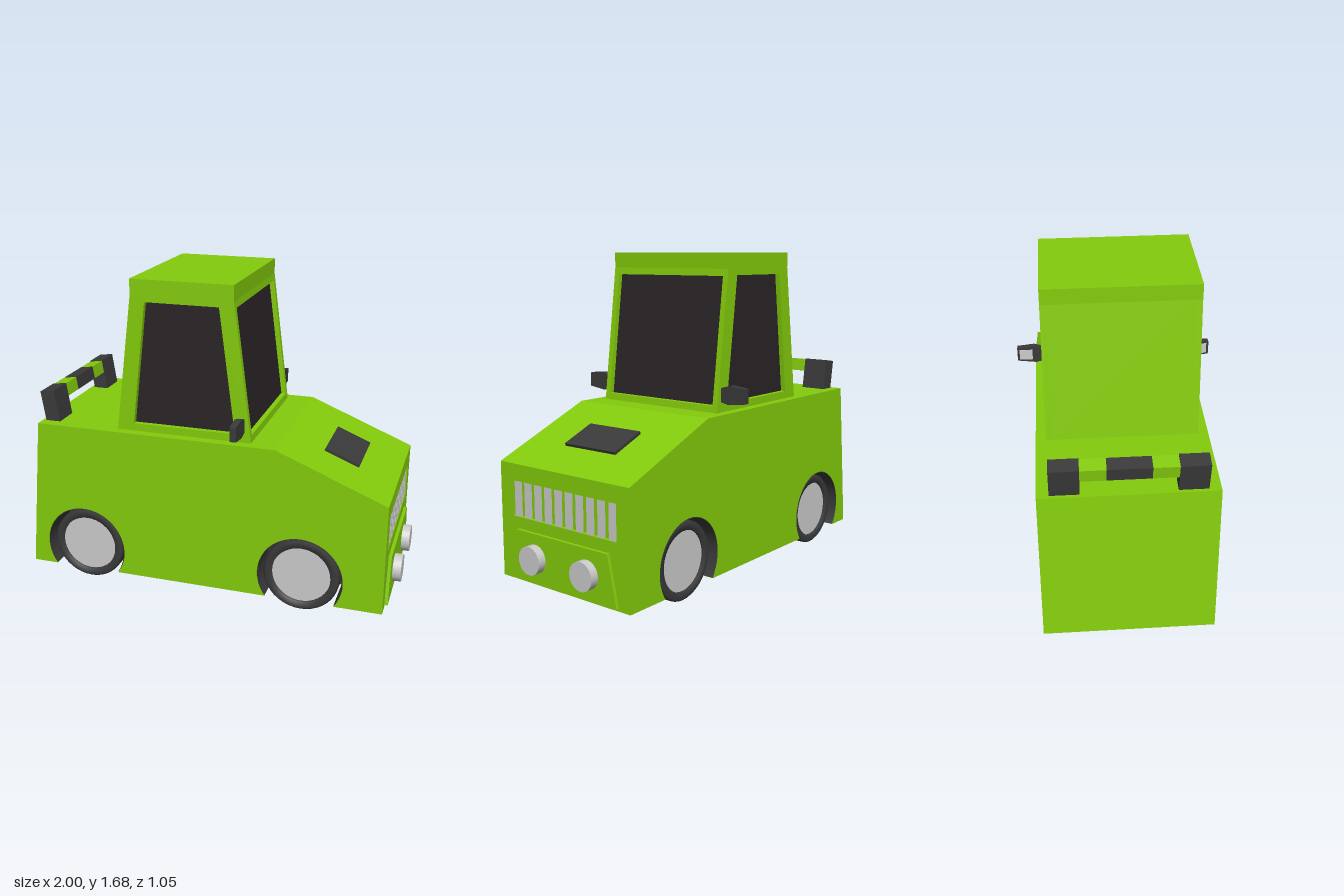
import * as THREE from 'three';

const mat = (color) => new THREE.MeshStandardMaterial({ color, side: THREE.DoubleSide });
const green = mat(0x84cc0c);
const dark = mat(0x3a3a3a);
const glass = mat(0x2a2527);
const grey = mat(0xcccccc);

const WHEELS = [-0.68, 0.51];
const ARCH_R = 0.225, ARCH_A = 0.616, WHEEL_Y = 0.2;

function add(parent, name, geometry, material) {
  const mesh = new THREE.Mesh(geometry, material);
  mesh.name = name;
  parent.add(mesh);
  return mesh;
}

const poly = (points) => new THREE.Shape(points.map(([x, y]) => new THREE.Vector2(x, y)));

// Side profile extruded across the vehicle from z0 to z1
function slab(shape, z0, z1) {
  const g = new THREE.ExtrudeGeometry(shape, { depth: z1 - z0, bevelEnabled: false, curveSegments: 28 });
  return g.translate(0, 0, z0);
}

// Outline drawn in (z, y), extruded along x from x0 to x1
function crossSlab(points, x0, x1) {
  const g = slab(poly(points.map(([z, y]) => [-z, y])), x0, x1);
  return g.rotateY(Math.PI / 2);
}

// Body outline, optionally with wheel arches and the grille recess
function bodyProfile(arches, recess) {
  const s = new THREE.Shape();
  s.moveTo(-1, 0.07);
  if (arches) {
    for (const x of WHEELS) {
      s.lineTo(x - ARCH_R * Math.cos(ARCH_A), 0.07);
      s.absarc(x, WHEEL_Y, ARCH_R, Math.PI + ARCH_A, -ARCH_A, true);
    }
  }
  s.lineTo(0.94, 0.07);
  if (recess) {
    s.lineTo(0.94, 0.395);
    s.lineTo(0.92, 0.395);
    s.lineTo(0.92, 0.575);
    s.lineTo(0.94, 0.575);
  }
  s.lineTo(0.94, 0.66);
  s.lineTo(0.37, 0.89);
  s.lineTo(-0.92, 0.89);
  s.closePath();
  return s;
}

function buildBody(car) {
  add(car, 'bodyCentre', slab(bodyProfile(false, true), -0.2, 0.2), green);
  for (const [a, b] of [[0.2, 0.35], [-0.35, -0.2]]) {
    add(car, 'bodyInnerSide', slab(bodyProfile(true, true), a, b), green);
  }
  for (const [a, b] of [[0.35, 0.43], [-0.43, -0.35]]) {
    add(car, 'bodyOuterSide', slab(bodyProfile(true, false), a, b), green);
  }

  // Hood vent lying on the slope
  const vent = add(car, 'hoodVent', new THREE.BoxGeometry(0.195, 0.03, 0.335), dark);
  vent.position.set(0.655, 0.775, 0);
  vent.rotation.z = -Math.atan2(0.23, 0.57);
}

function buildFront(car) {
  for (let i = 0; i < 10; i++) {
    const bar = add(car, 'grilleBar', new THREE.BoxGeometry(0.018, 0.18, 0.034), grey);
    bar.position.set(0.928, 0.485, (i - 4.5) * 0.0705);
  }
  add(car, 'bumperPlate', crossSlab([[-0.36, 0.085], [0.36, 0.085], [0.305, 0.335], [-0.305, 0.335]], 0.93, 0.957), green);
  for (const z of [-0.175, 0.175]) {
    const lamp = add(car, 'headlight', new THREE.CylinderGeometry(0.072, 0.072, 0.06, 32), grey);
    lamp.rotation.z = Math.PI / 2;
    lamp.position.set(0.97, 0.21, z);
  }
}

function buildCabin(car) {
  const frontX = (y) => 0.235 - 0.09 * Math.min(1, (y - 0.89) / 0.71);
  const D = 0.03;
  const window = [[-0.392, 0.93], [0.15, 0.93], [0.07, 1.568], [-0.315, 1.568]];

  // Solid core set back behind the window frames
  const core = [[-0.485, 0.88], [frontX(0.89) - D, 0.88], [frontX(1.6) - D, 1.6], [frontX(1.6) - D, 1.68], [-0.39, 1.68], [-0.39, 1.6]];
  add(car, 'cabinCore', slab(poly(core), -0.35, 0.35), green);

  // Side frames with window openings
  for (const z of [-0.38, 0.35]) {
    const side = poly([[-0.485, 0.88], [0.236, 0.88], [0.145, 1.6], [0.145, 1.68], [-0.39, 1.68], [-0.39, 1.6]]);
    side.holes.push(new THREE.Path(window.map(([x, y]) => new THREE.Vector2(x, y))));
    add(car, 'cabinSide', slab(side, z, z + 0.03), green);
  }
  add(car, 'sideWindows', slab(poly(window), -0.353, 0.353), glass);

  // Windscreen with the sill and header that frame it
  const strip = (y0, y1, inner, outer) => poly([
    [frontX(y0) - inner, y0], [frontX(y0) - outer, y0], [frontX(y1) - outer, y1], [frontX(y1) - inner, y1]]);
  add(car, 'windscreen', slab(strip(0.925, 1.565, 0.04, 0.026), -0.349, 0.349), glass);
  add(car, 'windscreenSill', slab(strip(0.89, 0.925, 0.04, 0), -0.35, 0.35), green);
  add(car, 'windscreenHeader', slab(strip(1.565, 1.6, 0.04, 0), -0.35, 0.35), green);
  add(car, 'roofFront', slab(strip(1.6, 1.68, 0.04, 0), -0.35, 0.35), green);
}

function buildMirrors(car) {
  for (const s of [-1, 1]) {
    const outline = [[0.37, 0.945], [0.425, 0.932], [0.525, 0.945], [0.525, 1.02], [0.435, 1.03], [0.37, 1.012]];
    add(car, 'wingMirror', crossSlab(outline.map(([z, y]) => [s * z, y]), 0.167, 0.2), dark);
    const pane = add(car, 'mirrorGlass', new THREE.BoxGeometry(0.004, 0.06, 0.07), grey);
    pane.position.set(0.166, 0.982, s * 0.478);
  }
}

// Roll bar: two leaning posts and a striped crossbar
function buildRollBar(car) {
  const bar = new THREE.Group();
  bar.name = 'rollBar';
  bar.position.set(-0.86, 0.88, 0);
  bar.rotation.z = 0.15;
  for (const z of [-0.3, 0.3]) {
    add(bar, 'rollBarPost', new THREE.BoxGeometry(0.08, 0.19, 0.142), dark).position.set(0, 0.08, z);
    add(bar, 'rollBarStripe', new THREE.BoxGeometry(0.075, 0.07, 0.126), green).position.set(0, 0.137, z * 0.56);
  }
  add(bar, 'rollBarMiddle', new THREE.BoxGeometry(0.075, 0.07, 0.21), dark).position.set(0, 0.137, 0);
  car.add(bar);
}

function buildWheels(car) {
  const profile = [[0, 0.205], [0.19, 0.205], [0.2, 0.215], [0.2, 0.385], [0.19, 0.395], [0.155, 0.395], [0.155, 0.375]];
  for (const x of WHEELS) {
    for (const s of [1, -1]) {
      const wheel = new THREE.Group();
      wheel.name = 'wheel';
      wheel.position.set(x, WHEEL_Y, 0);
      wheel.rotation.y = s > 0 ? 0 : Math.PI;

      // Tyre with a recessed hub
      const tyre = new THREE.LatheGeometry(profile.map(([r, y]) => new THREE.Vector2(r, y)), 40);
      add(wheel, 'tyre', tyre.rotateX(Math.PI / 2), dark);
      add(wheel, 'hub', new THREE.CircleGeometry(0.156, 40), grey).position.z = 0.38;

      // Dark lining of the wheel arch
      const start = Math.PI / 2 - ARCH_A;
      const lining = new THREE.CylinderGeometry(0.222, 0.222, 0.23, 36, 1, true, start, 2 * (Math.PI - start));
      add(wheel, 'archLining', lining.rotateX(Math.PI / 2), dark).position.z = 0.316;
      const back = new THREE.CircleGeometry(0.222, 36, -ARCH_A, Math.PI + 2 * ARCH_A);
      add(wheel, 'archBack', back, dark).position.z = 0.203;
      car.add(wheel);
    }
  }
}

export function createModel() {
  const car = new THREE.Group();
  car.name = 'car';
  buildBody(car);
  buildFront(car);
  buildCabin(car);
  buildMirrors(car);
  buildRollBar(car);
  buildWheels(car);
  return car;
}
